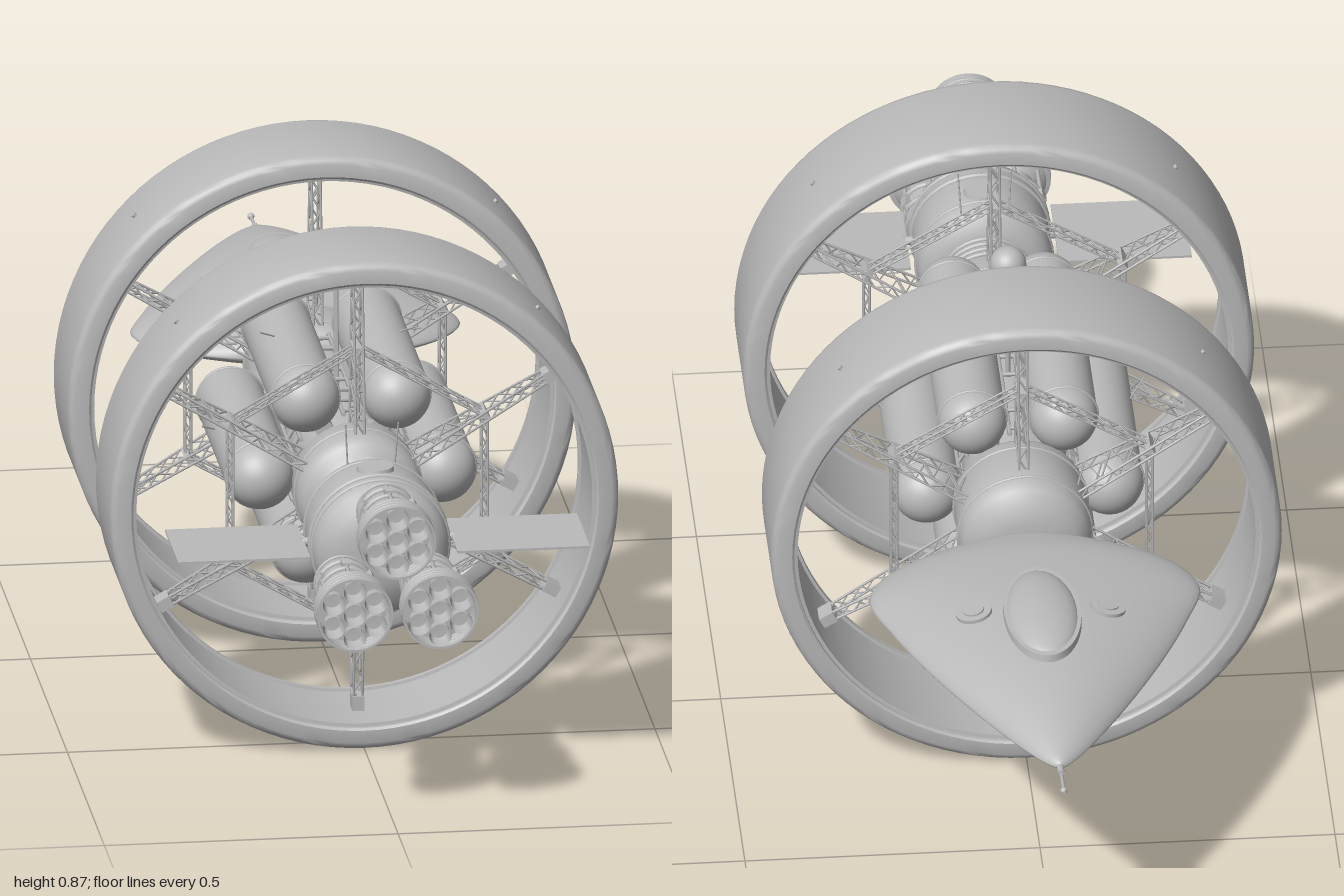
import * as THREE from 'three';
import { mergeGeometries, toCreasedNormals } from 'three/addons/utils/BufferGeometryUtils.js';

const V = (x, y, z) => new THREE.Vector3(x, y, z);
const UP = V(0, 1, 0);
const hullGrey = new THREE.MeshStandardMaterial({ color: 0xbababa, side: THREE.DoubleSide });
hullGrey.name = 'hull grey';

// Polar position around the ship's long axis (z)
const polar = (r, a, z) => V(r * Math.cos(a), r * Math.sin(a), z);

// Thin straight bar between two points
function rod(a, b, r, sides = 5) {
  const d = b.clone().sub(a);
  const g = new THREE.CylinderGeometry(r, r, d.length(), sides);
  g.applyQuaternion(new THREE.Quaternion().setFromUnitVectors(UP, d.clone().normalize()));
  const m = a.clone().add(b).multiplyScalar(0.5);
  return g.translate(m.x, m.y, m.z);
}

// Body of revolution around z from [radius, z] pairs
function turned(points, sides = 48) {
  const g = new THREE.LatheGeometry(points.map(p => new THREE.Vector2(p[0], p[1])), sides);
  return toCreasedNormals(g.rotateX(Math.PI / 2), 0.6);
}

const band = (r, tube, z, sides = 40) => new THREE.TorusGeometry(r, tube, 8, sides).translate(0, 0, z);
const ball = (r, sx, sy, sz, p) => new THREE.SphereGeometry(r, 28, 18).scale(sx, sy, sz).translate(p.x, p.y, p.z);

// Square lattice beam; e1,e2 are half-width vectors at the start, f1,f2 at the end
function lattice(a, b, e1, e2, f1, f2, bays, r) {
  const out = [], s = [[1, 1], [-1, 1], [-1, -1], [1, -1]];
  const at = (t, k) => a.clone().lerp(b, t)
    .addScaledVector(e1.clone().lerp(f1, t), s[k % 4][0])
    .addScaledVector(e2.clone().lerp(f2, t), s[k % 4][1]);
  for (let k = 0; k < 4; k++) {
    out.push(rod(at(0, k), at(1, k), r));
    for (let i = 0; i < bays; i++) {
      const swap = i % 2;
      out.push(rod(at(i / bays, k + swap), at((i + 1) / bays, k + 1 - swap), r * 0.7, 4));
    }
  }
  return out;
}

export function createModel() {
  const ship = new THREE.Group();
  ship.name = 'ringShip';
  ship.position.y = 0.433;
  const add = (name, geos, parent = ship) => {
    const list = (Array.isArray(geos) ? geos : [geos]).map(g => (g.index ? g.toNonIndexed() : g));
    const m = new THREE.Mesh(list.length > 1 ? mergeGeometries(list) : list[0], hullGrey);
    m.name = name;
    parent.add(m);
  };
  const hexAngle = i => Math.PI / 6 + i * Math.PI / 3;

  // Two large rings with lattice spokes and a hexagonal brace
  for (const [name, zc] of [['frontRing', 0.445], ['rearRing', -0.125]]) {
    const ring = new THREE.Group();
    ring.name = name;
    ring.position.z = zc;
    ship.add(ring);
    const h = 0.108;
    add('ringBand', turned([[0.398, -h], [0.42, -h], [0.427, -h + 0.003], [0.431, -h + 0.008], [0.433, -h + 0.016],
      [0.433, h - 0.016], [0.431, h - 0.008], [0.427, h - 0.003], [0.42, h], [0.398, h], [0.394, h - 0.003],
      [0.394, h - 0.009], [0.388, h - 0.01], [0.388, h - 0.02], [0.393, h - 0.021], [0.393, -h + 0.021],
      [0.388, -h + 0.02], [0.388, -h + 0.01], [0.394, -h + 0.009], [0.394, -h + 0.003], [0.398, -h]], 96), ring);
    const spokes = [], feet = [], brace = [], nubs = [];
    for (let i = 0; i < 6; i++) {
      const a = hexAngle(i), b = hexAngle(i + 1);
      const side = polar(1, a + Math.PI / 2, 0), ax = V(0, 0, 1);
      const s = k => side.clone().multiplyScalar(k), z = k => ax.clone().multiplyScalar(k);
      spokes.push(...lattice(polar(0.08, a, 0), polar(0.385, a, 0), s(0.0075), z(0.045), s(0.0075), z(0.011), 12, 0.0024));
      feet.push(new THREE.BoxGeometry(0.026, 0.02, 0.036).translate(0.38, 0, 0).rotateZ(a));
      feet.push(new THREE.BoxGeometry(0.01, 0.02, 0.05).translate(0.25, 0, 0).rotateZ(a));
      const p = polar(0.25, a, 0), q = polar(0.25, b, 0);
      const n = polar(0.005, (a + b) / 2, 0);
      brace.push(...lattice(p, q, n, z(0.009), n, z(0.009), 12, 0.0018));
    }
    for (let i = 0; i < 4; i++) {
      const a = Math.PI / 4 + i * Math.PI / 2;
      nubs.push(rod(polar(0.43, a, 0), polar(0.438, a, 0), 0.004, 10));
    }
    add('spokes', spokes, ring);
    add('spokeFeet', feet, ring);
    add('hexagonBrace', brace, ring);
    add('ringLights', nubs, ring);
  }

  // Central core running from the docking dome to the engine module
  add('core', turned([[0, -0.245], [0.05, -0.243], [0.085, -0.235], [0.105, -0.218], [0.113, -0.195],
    [0.113, -0.08], [0.105, -0.065], [0.088, -0.055], [0.088, 0.4], [0.1, 0.405], [0.108, 0.42], [0.108, 0.5],
    [0.1, 0.515], [0.085, 0.523],
    [0.075, 0.53], [0.075, 0.605], [0.095, 0.61], [0.109, 0.622], [0.116, 0.645], [0.116, 0.765],
    [0.109, 0.785], [0.09, 0.802], [0.05, 0.812], [0, 0.814]]));
  add('coreBands', [band(0.113, 0.003, -0.19), band(0.113, 0.003, -0.1), band(0.108, 0.003, 0.46),
    ...[0.54, 0.555, 0.57, 0.585, 0.6].map(z => band(0.076, 0.004, z)),
    band(0.116, 0.003, 0.655), band(0.116, 0.005, 0.735), band(0.116, 0.004, 0.76)]);

  // Six long round-ended tanks around the core
  const tanks = [], tankBands = [], brackets = [], ladders = [];
  for (let i = 0; i < 6; i++) {
    const a = i * Math.PI / 3, c = polar(0.155, a, 0);
    tanks.push(new THREE.CapsuleGeometry(0.058, 0.4, 10, 32).rotateX(Math.PI / 2).translate(c.x, c.y, 0.16));
    for (const z of [-0.04, 0.36]) {
      tankBands.push(band(0.058, 0.0025, z, 32).translate(c.x, c.y, 0));
      brackets.push(new THREE.BoxGeometry(0.06, 0.03, 0.03).translate(0.1, 0, z).rotateZ(a));
    }
    // Service ladder between each pair of tanks
    const b = hexAngle(i), off = polar(0.014, b + Math.PI / 2, 0);
    for (const k of [-1, 1]) {
      const o = polar(0.108, b, 0).addScaledVector(off, k);
      ladders.push(rod(V(o.x, o.y, -0.05), V(o.x, o.y, 0.38), 0.004));
    }
    for (let j = 0; j < 8; j++) {
      const o = polar(0.108, b, -0.03 + j * 0.055);
      ladders.push(rod(o.clone().sub(off), o.clone().add(off), 0.004));
    }
  }
  add('tanks', tanks);
  add('tankBands', tankBands);
  add('tankBrackets', brackets);
  add('ladders', ladders);

  // Small upright capsules above and below, on stalks
  for (const [name, y] of [['upperCapsule', 0.303], ['lowerCapsule', -0.213]]) {
    add(name, [new THREE.CapsuleGeometry(0.031, 0.024, 10, 24).translate(0, y, 0.16),
      rod(V(0, 0, 0.16), V(0, y, 0.16), 0.004, 8), rod(V(0, 0, 0.19), V(0, y, 0.17), 0.0025)]);
  }

  // Whip antennas on tanks and engine module
  const whips = [];
  for (const s of [-1, 1]) {
    whips.push(rod(V(s * 0.205, 0.02, 0.17), V(s * 0.235, 0.04, 0.21), 0.0015));
    whips.push(rod(V(s * 0.1, 0.18, 0.17), V(s * 0.135, 0.2, 0.2), 0.0015));
    whips.push(rod(V(s * 0.1, -0.18, 0.17), V(s * 0.135, -0.2, 0.2), 0.0015));
    whips.push(rod(V(s * 0.04, 0.1, 0.635), V(s * 0.045, 0.18, 0.645), 0.0015));
  }
  add('whipAntennas', whips);

  // Hatch on the engine module and flat panels either side
  add('moduleHatch', new THREE.CylinderGeometry(0.03, 0.033, 0.012, 24).translate(0, 0.114, 0.69));
  for (const [s, name] of [[1, 'leftPanel'], [-1, 'rightPanel']]) {
    const geos = [new THREE.BoxGeometry(0.225, 0.004, 0.176).translate(s * 0.238, 0, 0.722),
      rod(V(s * 0.1, 0, 0.722), V(s * 0.13, 0, 0.722), 0.008, 10)];
    add(name, geos);
  }

  // Three engine clusters, each with seven bells in a round shroud
  for (let i = 0; i < 3; i++) {
    const engine = new THREE.Group();
    engine.name = 'engineCluster' + (i + 1);
    engine.position.copy(polar(0.084, Math.PI / 2 + i * Math.PI * 2 / 3, 0));
    ship.add(engine);
    add('engineBody', turned([[0.02, 0.77], [0.036, 0.785], [0.045, 0.81], [0.045, 0.9], [0.034, 0.915],
      [0.034, 0.935], [0.052, 0.945], [0.06, 0.955], [0, 0.956]], 32), engine);
    add('engineShroud', turned([[0.057, 0.95], [0.065, 0.952], [0.065, 1], [0.061, 1], [0.061, 0.956]], 40), engine);
    add('engineBands', [band(0.046, 0.005, 0.85, 28), band(0.046, 0.005, 0.885, 28), band(0.046, 0.003, 0.82, 28),
      band(0.063, 0.003, 0.96), band(0.063, 0.003, 0.972), band(0.063, 0.003, 0.984)], engine);
    const bells = [], fittings = [];
    for (let k = 0; k < 7; k++) {
      const c = k ? polar(0.041, hexAngle(k), 0) : V(0, 0, 0);
      bells.push(turned([[0, 0.966], [0.015, 0.967], [0.017, 0.975], [0.0185, 0.985], [0.0195, 0.998]], 24).translate(c.x, c.y, 0));
      if (k) {
        const b = hexAngle(k);
        fittings.push(rod(polar(0.048, b, 0.84), polar(0.048, b, 0.95), 0.004, 6));
        fittings.push(new THREE.BoxGeometry(0.01, 0.014, 0.025).translate(0.049, 0, 0.868).rotateZ(b));
      }
    }
    add('engineBells', bells, engine);
    add('enginePipes', fittings, engine);
  }

  // Teardrop lander docked at the rear; stations hold half width, crown height, z
  const lander = new THREE.Group();
  lander.name = 'lander';
  lander.position.y = 0.005;
  ship.add(lander);
  const stations = [[0, 0.004, -0.235], [0.1, 0.028, -0.24], [0.18, 0.038, -0.268], [0.25, 0.05, -0.32],
    [0.28, 0.058, -0.39], [0.25, 0.066, -0.49], [0.203, 0.066, -0.6], [0.152, 0.059, -0.7],
    [0.095, 0.043, -0.8], [0.043, 0.022, -0.88], [0.015, 0.01, -0.913], [0, 0.002, -0.922]];
  const line = new THREE.CatmullRomCurve3(stations.map(p => V(...p)), false, 'centripetal').getPoints(66);
  const pos = [], idx = [], n = 48;
  line.forEach((p, i) => {
    for (let j = 0; j < n; j++) {
      const t = j / n * Math.PI * 2, s = Math.sin(t);
      const lens = Math.sign(s) * Math.abs(s) ** 1.35;
      pos.push(Math.max(p.x, 0) * Math.cos(t), Math.max(p.y, 0) * lens * (s > 0 ? 1 : 0.58), p.z);
      if (i) {
        const a = (i - 1) * n + j, b = (i - 1) * n + (j + 1) % n;
        idx.push(a, a + n, b, b, a + n, b + n);
      }
    }
  });
  const hull = new THREE.BufferGeometry();
  hull.setAttribute('position', new THREE.Float32BufferAttribute(pos, 3));
  hull.setIndex(idx);
  hull.computeVertexNormals();
  add('landerHull', hull, lander);
  add('landerCanopy', [ball(1, 0.062, 0.031, 0.132, V(0, 0.063, -0.55)),
    new THREE.CylinderGeometry(1, 1.03, 0.026, 48).scale(0.065, 1, 0.136).translate(0, 0.06, -0.55)], lander);
  const discs = [];
  for (const s of [-1, 1]) {
    const disc = (r, h, y, dir) => new THREE.CylinderGeometry(r, r, h, 28).rotateZ(-s * 0.19 * dir).translate(s * 0.113, y, -0.52);
    discs.push(disc(0.031, 0.012, 0.055, 1), disc(0.018, 0.018, 0.055, 1), disc(0.031, 0.012, -0.032, -0.6), disc(0.018, 0.018, -0.032, -0.6));
  }
  add('landerThrusterDiscs', discs, lander);
  add('landerBellyDome', ball(1, 0.037, 0.024, 0.037, V(0, -0.034, -0.447)), lander);
  add('landerBellyHatch', [new THREE.BoxGeometry(0.07, 0.014, 0.07).translate(0, -0.036, -0.575),
    new THREE.BoxGeometry(0.045, 0.022, 0.045).translate(0, -0.036, -0.575)], lander);
  add('noseProbe', [rod(V(0, 0, -0.91), V(0, 0, -0.94), 0.006, 10), rod(V(0, 0, -0.93), V(0, 0, -1), 0.003, 8),
    ball(0.006, 1, 1, 1, V(0, 0, -0.992))], lander);

  return ship;
}
